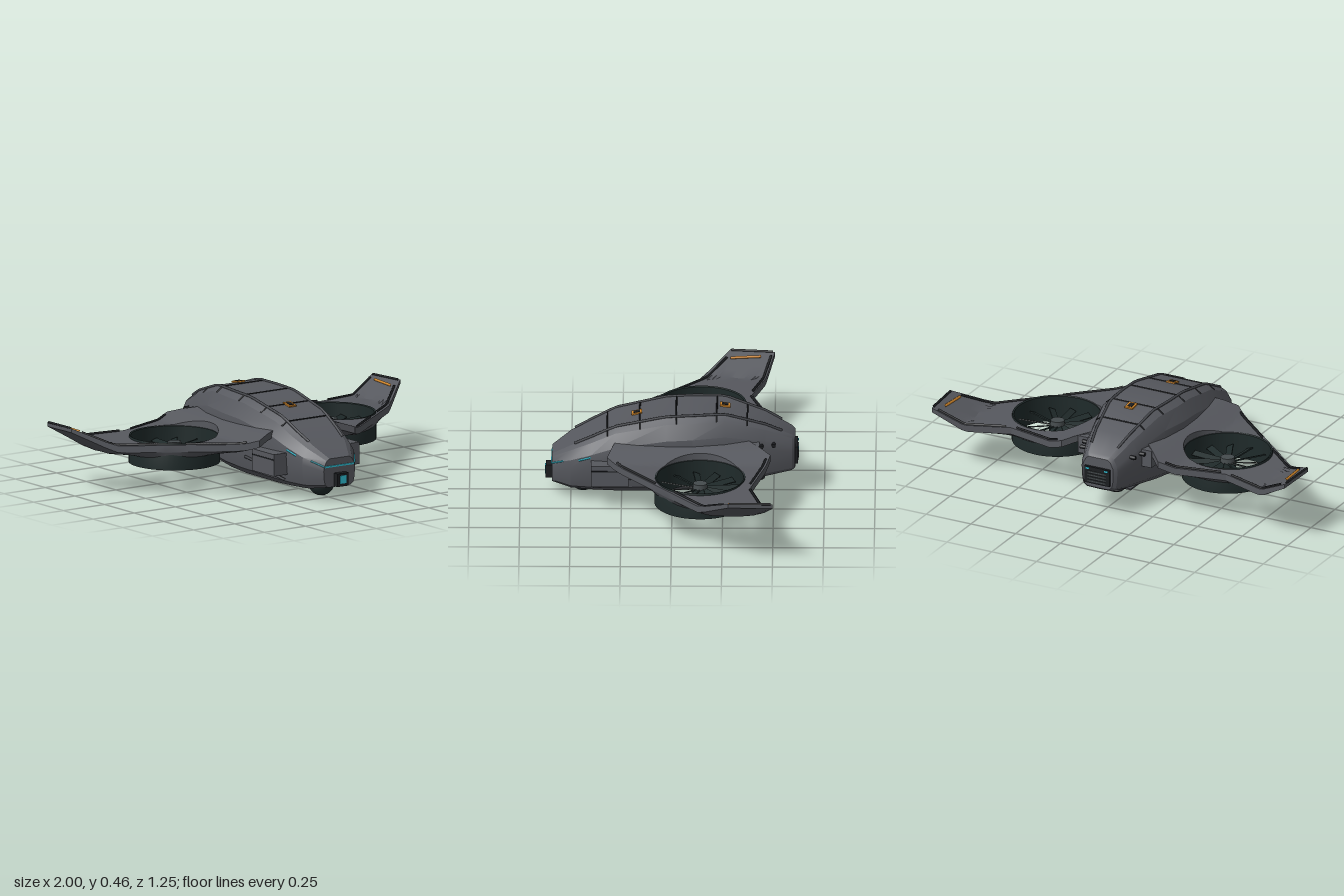
import * as THREE from 'three';
import { toCreasedNormals } from 'three/addons/utils/BufferGeometryUtils.js';

const V = (x, y, z) => new THREE.Vector3(x, y, z);
const paint = (name, color) => Object.assign(new THREE.MeshStandardMaterial({ color }), { name });

// Hull stations [z, half width, bottom, top] and half profile [x, y] as fractions
const STATIONS = [
  [0.592, 0.095, 0.07, 0.215], [0.5, 0.16, 0.055, 0.275], [0.4, 0.185, 0.052, 0.325], [0.28, 0.2, 0.05, 0.385],
  [0.03, 0.215, 0.055, 0.44], [-0.1, 0.215, 0.065, 0.446], [-0.26, 0.195, 0.085, 0.45], [-0.46, 0.145, 0.113, 0.385],
  [-0.59, 0.1, 0.133, 0.32], [-0.606, 0.085, 0.145, 0.305],
];
const HALF = [[0, 1], [0.62, 1], [0.8, 0.93], [0.97, 0.74], [1, 0.58], [0.97, 0.28], [0.9, 0.1], [0.72, 0.01], [0, 0]];
const PROFILE = [...HALF, ...HALF.slice(1, -1).reverse().map(([x, y]) => [-x, y])];

// Piecewise linear lookup in rows sorted by their first value
function lookup(rows, t, col) {
  for (let i = 1; i < rows.length; i++) {
    const a = rows[i - 1], b = rows[i], u = (t - a[0]) / (b[0] - a[0]);
    if (u <= 1 || i === rows.length - 1) return THREE.MathUtils.lerp(a[col], b[col], THREE.MathUtils.clamp(u, 0, 1));
  }
}

// Point on the hull at z; k counts profile corners from the top, negative on the right
function hull(z, k, lift = 0) {
  const [x, y] = HALF[Math.abs(k)];
  const [w, b, t] = [1, 2, 3].map((c) => lookup(STATIONS, z, c));
  return V(Math.sign(k) * (x * w + (Math.abs(k) > 2 ? lift : 0)), b + y * (t - b) + lift, z);
}

// Skin over a grid of points; rings of n points closed around
function skin(points, n, closedRows, crease) {
  const rows = points.length / n, index = [];
  const pos = points.flatMap((p) => p.toArray());
  for (let i = 0; i < (closedRows ? rows : rows - 1); i++) {
    for (let j = 0; j < n; j++) {
      const i2 = (i + 1) % rows, j2 = (j + 1) % n;
      const a = i * n + j, b = i * n + j2, c = i2 * n + j, d = i2 * n + j2;
      if (closedRows) index.push(a, c, b, b, c, d);
      else index.push(a, b, c, b, d, c);
    }
  }
  if (!closedRows) {
    const last = (rows - 1) * n;
    for (let j = 1; j < n - 1; j++) index.push(0, j + 1, j, last, last + j, last + j + 1);
  }
  const g = new THREE.BufferGeometry();
  g.setAttribute('position', new THREE.Float32BufferAttribute(pos, 3));
  g.setIndex(index);
  return toCreasedNormals(g, crease);
}

function fuselage() {
  const pts = STATIONS.flatMap(([z, w, b, t]) => PROFILE.map(([x, y]) => V(x * w, b + y * (t - b), z)));
  return skin(pts, PROFILE.length, false, 0.35);
}

// Wing plan around the fan opening, with a height rule along the span
const FAN = [0.475, -0.14], FAN_R = 0.217;
const PLAN = [[1, -0.28], [0.29, 0.32], [0.17, 0.28], [0.14, -0.36], [0.27, -0.485], [0.6, -0.39], [0.985, -0.5]];
const RISE = [[0.14, 0.33], [0.22, 0.312], [0.35, 0.268], [0.83, 0.25], [1, 0.335]];
const wingTop = (x) => lookup(RISE, x, 1);

function wing() {
  const pts = [], rings = 9, steps = 16;
  PLAN.forEach((p, e) => {
    const q = PLAN[(e + 1) % PLAN.length];
    for (let s = 0; s < steps; s++) {
      const ox = p[0] + (q[0] - p[0]) * s / steps, oz = p[1] + (q[1] - p[1]) * s / steps;
      const ang = Math.atan2(oz - FAN[1], ox - FAN[0]);
      const ix = FAN[0] + FAN_R * Math.cos(ang), iz = FAN[1] + FAN_R * Math.sin(ang);
      const at = (r, under) => {
        const x = ix + (ox - ix) * r, z = iz + (oz - iz) * r;
        const thick = (0.075 - 0.04 * r) * (x > 0.8 ? 1 - (x - 0.8) * 2 : 1);
        return V(x, wingTop(x) - (under ? thick : 0), z);
      };
      for (let r = 0; r < rings; r++) pts.push(at(r / (rings - 1), false));
      for (let r = rings - 1; r >= 0; r--) pts.push(at(r / (rings - 1), true));
    }
  });
  return skin(pts, rings * 2, true, 0.4);
}

// Mirror a geometry to the other side and restore its winding
function mirror(geo) {
  const g = geo.index ? geo.toNonIndexed() : geo.clone();
  g.scale(-1, 1, 1);
  for (const a of Object.values(g.attributes)) {
    const s = a.itemSize;
    for (let i = 0; i < a.count; i += 3) {
      for (let c = 0; c < s; c++) {
        const p = (i + 1) * s + c, q = (i + 2) * s + c;
        [a.array[p], a.array[q]] = [a.array[q], a.array[p]];
      }
    }
  }
  return g;
}

function wire(points, r) {
  const path = new THREE.CurvePath();
  for (let i = 1; i < points.length; i++) path.add(new THREE.LineCurve3(points[i - 1], points[i]));
  return new THREE.TubeGeometry(path, (points.length - 1) * 4, r, 6);
}
const span = (a, b, n, fn) => Array.from({ length: n + 1 }, (_, i) => fn(a + (b - a) * i / n));
const box = (w, h, d, x, y, z) => new THREE.BoxGeometry(w, h, d).translate(x, y, z);

export function createModel() {
  const model = new THREE.Group();
  const grey = paint('hull grey', 0x56585e), panel = paint('panel grey', 0x45474c);
  const dark = paint('dark trim', 0x1b1d20), fanDark = paint('fan dark', 0x1f2a2a);
  const hubGrey = paint('hub grey', 0x454b4d), cyan = paint('cyan light', 0x2fbfd4), orange = paint('orange marking', 0xd0862a);

  const add = (name, geo, mat) => {
    const m = new THREE.Mesh(geo, mat);
    m.name = name;
    model.add(m);
  };
  const pair = (name, geo, mat) => {
    add(name + 'Left', geo, mat);
    add(name + 'Right', mirror(geo), mat);
  };

  // Fuselage with rails, seams and orange hatch marks
  add('fuselage', fuselage(), grey);
  pair('topRail', wire(span(0.48, -0.54, 24, (z) => hull(z, 1, 0.002)), 0.007), panel);
  [0.32, 0.16, -0.02, -0.22, -0.37].forEach((z) => add('topSeam', wire([-2, -1, 0, 1, 2].map((k) => hull(z, k)), 0.004), dark));
  [0.175, -0.26].forEach((z) => {
    const slope = Math.atan2(hull(z - 0.02, 0).y - hull(z + 0.02, 0).y, 0.04);
    const put = (g) => g.rotateX(slope).translate(0, hull(z, 0).y + 0.003, z);
    add('hatchMark', put(new THREE.BoxGeometry(0.045, 0.008, 0.052)), orange);
    add('hatchCentre', put(new THREE.BoxGeometry(0.025, 0.012, 0.032)), dark);
  });

  // Nose sensor, light strips and belly camera
  add('noseSensor', box(0.068, 0.066, 0.04, 0, 0.108, 0.604), dark);
  add('noseLens', box(0.038, 0.04, 0.006, 0, 0.11, 0.624), cyan);
  add('noseLight', box(0.18, 0.008, 0.008, 0, 0.176, 0.593), cyan);
  pair('noseSideLight', wire(span(0.592, 0.535, 4, (z) => hull(z, 3, 0.001)), 0.004), cyan);
  pair('cheekLight', wire(span(0.46, 0.4, 3, (z) => hull(z, 3, 0.001).add(V(0, -0.012, 0))), 0.005), cyan);
  add('bellyCamera', new THREE.SphereGeometry(0.065, 28, 18).translate(0, 0.065, 0.44), fanDark);

  // Side intakes with feed pipes
  pair('intake', box(0.09, 0.11, 0.185, 0.215, 0.173, 0.308), grey);
  pair('intakeGroove', box(0.004, 0.006, 0.18, 0.26, 0.2, 0.308), dark);
  pair('feedPipe', wire([V(0.185, 0.09, 0.39), V(0.2, 0.11, 0.3), V(0.205, 0.145, 0.2), V(0.21, 0.16, 0.09)], 0.007), panel);

  // Belly panels and landing pad
  [[0.18, 0.4, 0.05], [-0.155, 0.12, 0.056], [-0.315, 0.12, 0.057]].forEach(([z, d, y]) => add('bellyPanel', box(0.12, 0.007, d, 0, y, z), panel));
  const pad = new THREE.CapsuleGeometry(0.035, 0.085, 6, 12).rotateX(Math.PI / 2).scale(1.2, 0.32, 1);
  add('bellyPad', pad.translate(0, 0.07, -0.38), dark);
  add('padStrut', box(0.03, 0.04, 0.06, 0, 0.09, -0.38), panel);

  // Tail vent with slats and lights
  add('tailVent', box(0.14, 0.088, 0.018, 0, 0.212, -0.61), dark);
  for (let i = 0; i < 4; i++) add('ventSlat', box(0.1, 0.007, 0.006, 0, 0.182 + i * 0.016, -0.62), hubGrey);
  pair('tailLight', box(0.02, 0.008, 0.005, 0.052, 0.247, -0.62), cyan);
  [-0.44, -0.5].forEach((z) => pair('tailStud', new THREE.CylinderGeometry(0.01, 0.01, 0.03, 10).rotateZ(Math.PI / 2)
    .translate(hull(z, 4).x + 0.008, 0.295, z), dark));

  // Wings with root fairings, edge lines and tip markings
  pair('wing', wing(), grey);
  pair('wingRoot', box(0.07, 0.09, 0.12, 0.17, 0.27, -0.37), grey);
  const edges = [[0.33, 0.27, 0.56, 0.075], [0.66, -0.015, 0.95, -0.262], [0.3, -0.462, 0.57, -0.385], [0.63, -0.388, 0.96, -0.48]];
  edges.forEach(([x1, z1, x2, z2]) => pair('edgeLine', wire(span(0, 1, 10, (t) => {
    const x = x1 + (x2 - x1) * t;
    return V(x, wingTop(x) + 0.003, z1 + (z2 - z1) * t);
  }), 0.006), dark));
  pair('tipMarking', wire([V(0.953, 0.316, -0.43), V(0.945, 0.312, -0.28)], 0.007), orange);
  pair('tipEdge', wire([V(0.985, 0.329, -0.49), V(0.995, 0.334, -0.285)], 0.006), dark);

  // Ducted fans: open ring, hub and twelve pitched blades
  const at = (g, y) => g.translate(FAN[0], y, FAN[1]);
  const ring = [[0.214, 0.13], [0.226, 0.13], [0.226, 0.25], [0.222, 0.266], [0.214, 0.262], [0.214, 0.13]].map(([r, y]) => new THREE.Vector2(r, y));
  pair('fanDuct', toCreasedNormals(at(new THREE.LatheGeometry(ring, 56), 0), 0.5), fanDark);
  pair('fanHub', at(new THREE.CylinderGeometry(0.034, 0.04, 0.06, 24), 0.2), hubGrey);
  pair('hubBase', at(new THREE.CylinderGeometry(0.042, 0.042, 0.03, 24), 0.18), fanDark);
  for (let i = 0; i < 12; i++) {
    const blade = new THREE.BoxGeometry(0.168, 0.006, 0.034).rotateX(0.4).translate(0.118, 0, 0);
    pair('fanBlade', at(blade.rotateY(i * Math.PI / 6 + 0.1), 0.2), fanDark);
  }
  return model;
}
